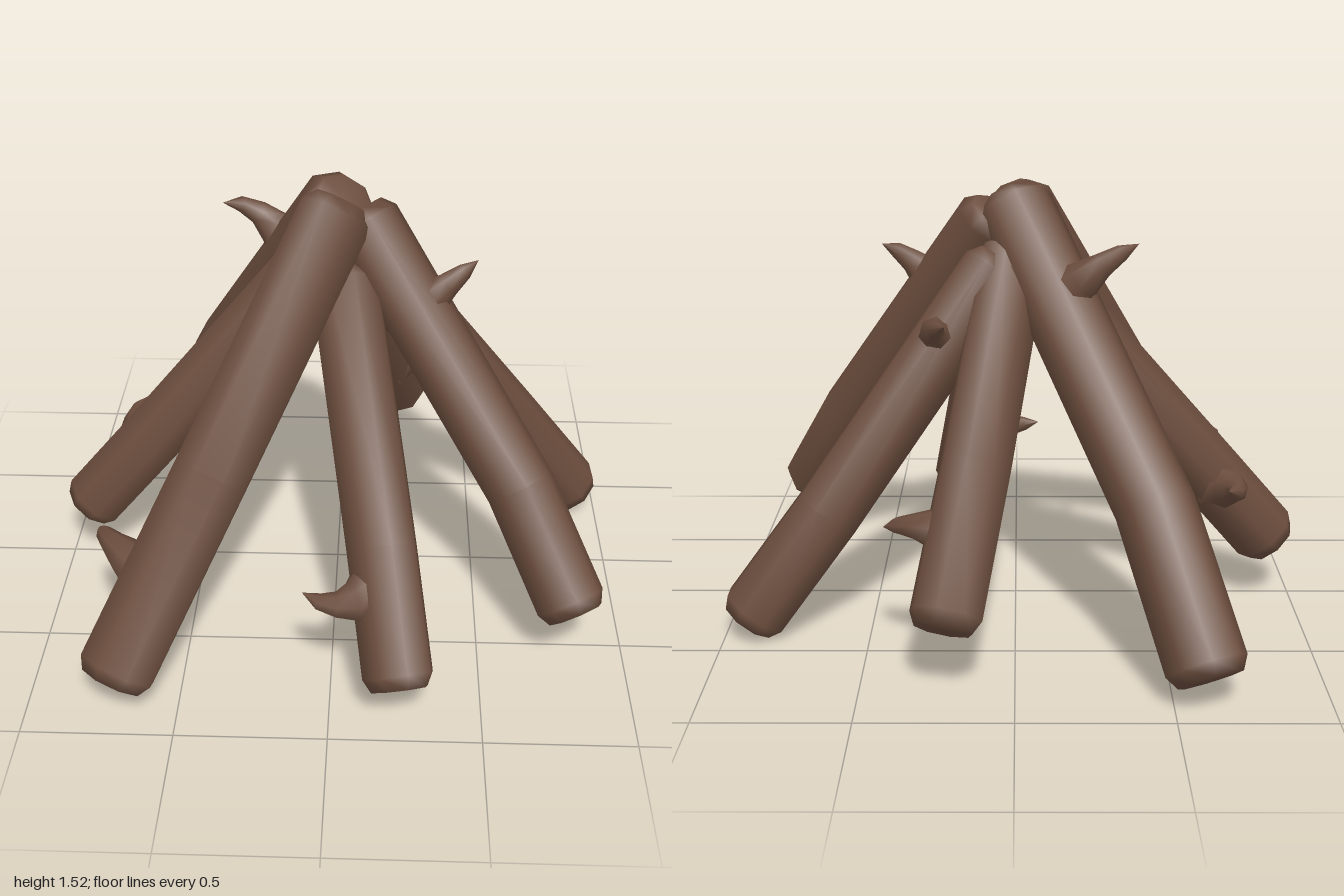
import * as THREE from 'three';

const V = (a) => new THREE.Vector3(...a);

// Skin a row of round sections { p: centre, t: direction, r: radius }
function skin(sections, sides) {
  const pos = [], index = [];
  const u = new THREE.Vector3(0.31, 0.2, 0.93);
  sections.forEach(({ p, t, r }, i) => {
    u.addScaledVector(t, -u.dot(t)).normalize(); // carried along, so the skin never twists
    const v = t.clone().cross(u);
    for (let j = 0; j < sides; j++) {
      const a = (j / sides) * Math.PI * 2;
      const q = p.clone().addScaledVector(u, r * Math.cos(a)).addScaledVector(v, r * Math.sin(a));
      pos.push(q.x, q.y, q.z);
      if (i === 0) continue;
      const k = (j + 1) % sides, lo = (i - 1) * sides, hi = i * sides;
      if (sections[i - 1].r > 0) index.push(lo + j, lo + k, hi + j);
      if (r > 0) index.push(lo + k, hi + k, hi + j);
    }
  });
  const g = new THREE.BufferGeometry();
  g.setAttribute('position', new THREE.Float32BufferAttribute(pos, 3));
  g.setIndex(index);
  g.computeVertexNormals();
  return g;
}

// Log with a slight bend and worn, bevelled ends
function logGeometry(top, bend, foot, r) {
  const [a, b, c] = [V(top), V(bend), V(foot)];
  const d1 = b.clone().sub(a).normalize(), d2 = c.clone().sub(b).normalize();
  const mid = d1.clone().add(d2).normalize();
  const along = (p, d, s) => p.clone().addScaledVector(d, s);
  return skin([
    { p: a, t: d1, r: 0 },
    { p: a, t: d1, r: r * 0.72 },
    { p: along(a, d1, 0.045), t: d1, r },
    { p: b, t: mid, r },
    { p: along(c, d2, -0.045), t: d2, r },
    { p: c, t: d2, r: r * 0.8 },
    { p: c, t: d2, r: 0 },
  ], 8);
}

// Curved, pointed twig stub with a flared root
function twigGeometry(base, mid, tip) {
  const curve = new THREE.QuadraticBezierCurve3(V(base), V(mid), V(tip));
  const radii = [0.1, 0.068, 0.043, 0.028, 0];
  return skin(radii.map((r, i) => {
    const s = i / (radii.length - 1);
    return { p: curve.getPoint(s), t: curve.getTangent(s), r };
  }), 7);
}

// Each log: top end, bend, foot, then its twig as base, control point, tip
const LOGS = [
  { name: 'backLeftLog', r: 0.135, path: [[0.02, 1.46, 0.02], [-0.45, 0.56, -0.61], [-0.61, 0.1, -0.91]],
    twig: [[-0.16, 1.16, -0.22], [-0.29, 1.31, -0.34], [-0.41, 1.34, -0.22]] },
  { name: 'backLog', r: 0.12, path: [[0.0, 1.3, -0.03], [0.13, 0.66, -0.53], [0.225, 0.235, -0.84]],
    twig: [[0.19, 0.48, -0.64], [0.34, 0.53, -0.67], [0.43, 0.47, -0.56]] },
  { name: 'rightBackLog', r: 0.12, path: [[0.05, 1.26, -0.08], [0.64, 0.43, -0.32], [0.92, 0.055, -0.38]],
    twig: [[0.24, 1.0, -0.15], [0.31, 1.06, -0.29], [0.23, 1.1, -0.4]] },
  { name: 'rightFrontLog', r: 0.12, path: [[0.07, 1.41, -0.01], [0.63, 0.57, 0.37], [0.82, 0.22, 0.61]],
    twig: [[0.25, 1.09, 0.12], [0.38, 1.24, 0.17], [0.47, 1.28, 0.09]] },
  { name: 'frontLog', r: 0.12, path: [[0.02, 1.22, 0.05], [0.165, 0.5, 0.64], [0.23, 0.14, 0.915]],
    twig: [[0.13, 0.39, 0.74], [0.02, 0.37, 0.84], [-0.09, 0.41, 0.77]] },
  { name: 'frontLeftLog', r: 0.135, path: [[0.015, 1.45, 0.02], [-0.4, 0.68, 0.5], [-0.715, 0.1, 0.86]],
    twig: [[-0.61, 0.38, 0.65], [-0.76, 0.48, 0.58], [-0.8, 0.42, 0.44]] },
  { name: 'leftLog', r: 0.118, path: [[0.0, 1.28, -0.13], [-0.68, 0.49, -0.03], [-0.93, 0.2, -0.01]],
    twig: [[-0.72, 0.44, -0.06], [-0.81, 0.46, -0.21], [-0.73, 0.5, -0.31]] },
];

export function createModel() {
  const model = new THREE.Group();
  model.name = 'logPile';
  const bark = new THREE.MeshStandardMaterial({ color: 0x6b4d3d });
  bark.name = 'brown bark';

  for (const { name, r, path, twig } of LOGS) {
    const group = new THREE.Group();
    group.name = name;
    const trunk = new THREE.Mesh(logGeometry(...path, r), bark);
    trunk.name = 'trunk';
    const stub = new THREE.Mesh(twigGeometry(...twig), bark);
    stub.name = 'twig';
    group.add(trunk, stub);
    model.add(group);
  }
  return model;
}
